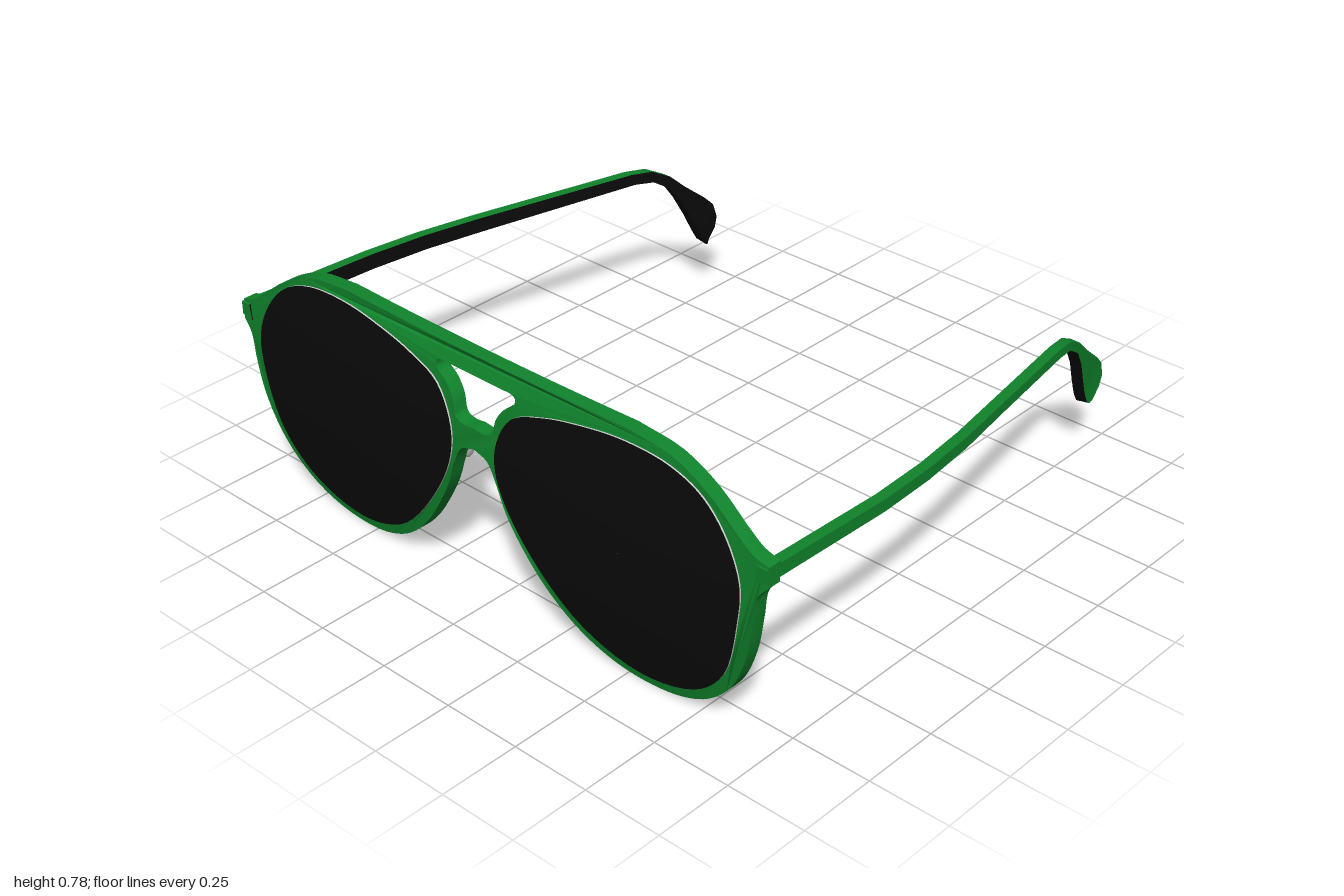
import * as THREE from 'three';
import { mergeVertices, mergeGeometries, toCreasedNormals } from 'three/addons/utils/BufferGeometryUtils.js';

const green = new THREE.MeshStandardMaterial({ color: 0x10842c });
const black = new THREE.MeshStandardMaterial({ color: 0x0a0a0a });
const grey = new THREE.MeshStandardMaterial({ color: 0xcccccc });

// Curved front surface shared by the frame and the lenses
const frontZ = (x, y) => 0.892 - 0.035 * x * x - 0.25 * (y - 0.45) ** 2;

// Smooth curve through [x, y] pairs
const smooth = (pts, n, closed = false) =>
  new THREE.CatmullRomCurve3(pts.map(([x, y]) => new THREE.Vector3(x, y, 0)), closed, 'centripetal')
    .getPoints(n).map((p) => new THREE.Vector2(p.x, p.y));

const flipX = (pts) => pts.map((p) => new THREE.Vector2(-p.x, p.y)).reverse();

// Surface through equal rows of points
function skin(rows) {
  const n = rows[0].length, index = [];
  for (let r = 0; r < rows.length - 1; r++) {
    for (let i = 0; i < n - 1; i++) {
      const a = r * n + i, b = a + 1, c = a + n, d = c + 1;
      index.push(a, b, c, b, d, c);
    }
  }
  const geo = new THREE.BufferGeometry().setFromPoints(rows.flat());
  geo.setIndex(index);
  const merged = mergeVertices(geo, 1e-5);
  merged.computeVertexNormals();
  return merged;
}

// Mirrored copy across x = 0 with corrected winding
function mirror(geo) {
  const m = geo.clone();
  m.scale(-1, 1, 1);
  const ix = m.index.array;
  for (let i = 0; i < ix.length; i += 3) [ix[i], ix[i + 1]] = [ix[i + 1], ix[i]];
  m.computeVertexNormals();
  return m;
}

// Outline of the left lens, counter-clockwise
const lensOutline = smooth([
  [0.25, 0.708], [0.14, 0.66], [0.085, 0.55], [0.095, 0.44], [0.2, 0.257], [0.36, 0.096],
  [0.55, 0.032], [0.74, 0.075], [0.855, 0.19], [0.91, 0.39], [0.915, 0.5], [0.87, 0.61],
  [0.79, 0.695], [0.68, 0.74], [0.53, 0.752], [0.39, 0.738],
], 80, true);

function makeFrame() {
  // Half outline from the top centre round to the nose
  const brow = smooth([[0.53, 0.785], [0.68, 0.765], [0.8, 0.71], [0.91, 0.625], [0.95, 0.598], [0.998, 0.583]], 20);
  const rim = smooth([
    [0.998, 0.522], [0.968, 0.485], [0.955, 0.4], [0.93, 0.28], [0.87, 0.15], [0.78, 0.06],
    [0.68, 0.015], [0.56, 0.002], [0.45, 0.018], [0.34, 0.07], [0.24, 0.16], [0.16, 0.27],
    [0.11, 0.36], [0.08, 0.44], [0.05, 0.495], [0, 0.513],
  ], 64);
  const top = [0, 0.1, 0.2, 0.3, 0.4].map((x) => new THREE.Vector2(x, 0.785));
  const half = [...top, ...brow, ...rim];
  const shape = new THREE.Shape([...half, ...flipX(half).slice(1, -1)]);

  // Opening between brow bar and bridge
  const gap = smooth([[0, 0.577], [0.04, 0.574], [0.068, 0.585], [0.082, 0.635], [0.11, 0.675], [0.145, 0.7], [0.148, 0.722], [0.13, 0.73]], 24);
  const gapTop = [new THREE.Vector2(0, 0.73)];
  const gapHalf = [...gap, ...gapTop];
  for (const pts of [lensOutline.slice(1), flipX(lensOutline).slice(1), [...gapHalf, ...flipX(gapHalf).slice(1, -1)]]) {
    shape.holes.push(new THREE.Path(pts));
  }

  // Bend the flat extrusion onto the curved front
  const geo = new THREE.ExtrudeGeometry(shape, { depth: 0.044, bevelEnabled: false });
  const p = geo.attributes.position;
  for (let i = 0; i < p.count; i++) p.setZ(i, frontZ(p.getX(i), p.getY(i)) - 0.044 + p.getZ(i));
  return toCreasedNormals(geo, 0.6);
}

function makeLens() {
  const ring = (t, off) => lensOutline.map((q) => {
    const x = 0.52 + (q.x - 0.52) * t, y = 0.42 + (q.y - 0.42) * t;
    return new THREE.Vector3(x, y, frontZ(x, y) + off);
  });
  const steps = [1, 0.75, 0.5, 0.25, 0.001], front = 0.005, back = -0.048;
  return {
    face: mergeGeometries([
      skin(steps.map((t) => ring(t, front))),
      skin(steps.map((t) => ring(t, back)).reverse()),
    ]),
    edge: skin([ring(1, back), ring(1, front)]),
  };
}

function makeTemple() {
  // Stations from hinge to tip: top z, top y, bottom z, bottom y, outer x
  const stations = [
    [0.86, 0.578, 0.86, 0.53, 0.998], [0.4, 0.56, 0.4, 0.515, 0.997], [0.2, 0.552, 0.2, 0.508, 0.983],
    [0, 0.543, 0, 0.5, 0.955], [-0.2, 0.535, -0.2, 0.495, 0.918], [-0.57, 0.52, -0.58, 0.484, 0.85],
    [-0.65, 0.508, -0.65, 0.472, 0.835], [-0.72, 0.47, -0.715, 0.43, 0.82], [-0.78, 0.415, -0.755, 0.37, 0.81],
    [-0.86, 0.35, -0.79, 0.3, 0.797], [-0.895, 0.315, -0.815, 0.245, 0.79], [-0.91, 0.265, -0.83, 0.215, 0.787],
    [-0.9, 0.23, -0.845, 0.19, 0.786], [-0.87, 0.195, -0.855, 0.184, 0.786],
  ];
  const V = (x, y, z) => new THREE.Vector3(x, y, z);
  const outTop = stations.map(([zt, yt, , , x]) => V(x, yt, zt));
  const inTop = stations.map(([zt, yt, , , x]) => V(x - 0.033, yt, zt));
  const inLow = stations.map(([, , zb, yb, x]) => V(x - 0.04, yb, zb));
  const outLow = stations.map(([, , zb, yb, x]) => V(x, yb + 0.007, zb));
  const tip = [[outTop.at(-1), outLow.at(-1)], [inTop.at(-1), inLow.at(-1)]];
  const hinge = [[inTop[0], inLow[0]], [outTop[0], outLow[0]]];
  return {
    outer: mergeGeometries([skin([outLow, outTop]), skin([outTop, inTop]), skin(tip), skin(hinge)]),
    inner: mergeGeometries([skin([inTop, inLow]), skin([inLow, outLow])]),
  };
}

export function createModel() {
  const model = new THREE.Group();
  model.name = 'sunglasses';
  const add = (name, geo, mat) => {
    const mesh = new THREE.Mesh(geo, mat);
    mesh.name = name;
    model.add(mesh);
    return mesh;
  };

  add('frontFrame', makeFrame(), green);

  const lens = makeLens(), temple = makeTemple();
  for (const [side, sx] of [['left', 1], ['right', -1]]) {
    const place = (geo) => (sx > 0 ? geo : mirror(geo));
    add(side + 'Lens', place(lens.face), black);
    add(side + 'LensEdge', place(lens.edge), grey);
    add(side + 'TempleOuter', place(temple.outer), green);
    add(side + 'TempleInner', place(temple.inner), black);

    // Nose pad behind the bridge
    const pad = add(side + 'NosePad', new THREE.SphereGeometry(1, 20, 14), grey);
    pad.scale.set(0.018, 0.05, 0.022);
    pad.position.set(sx * 0.082, 0.475, 0.84);
    pad.rotation.set(0, sx * 0.5, sx * 0.2);
  }
  return model;
}
